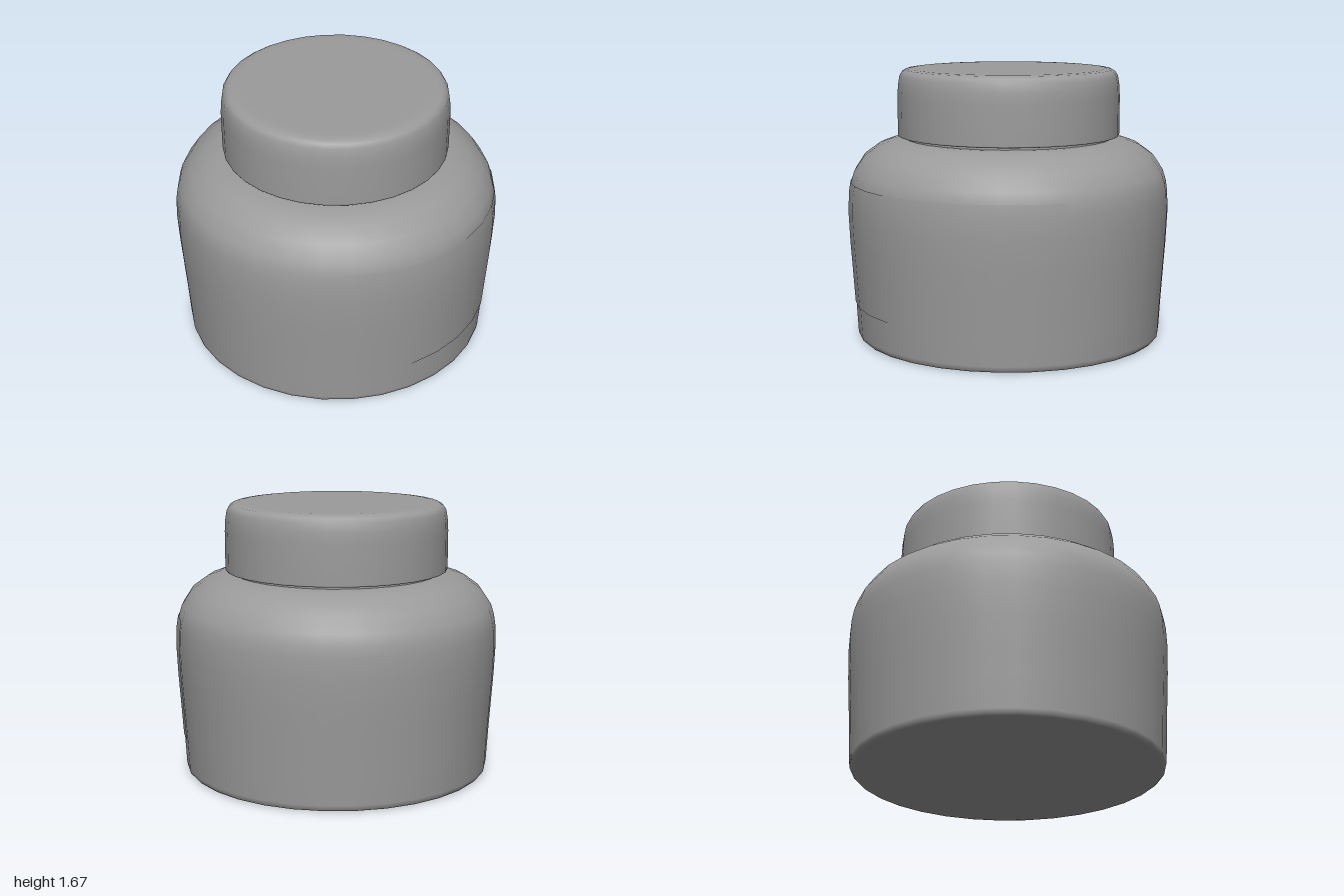
import * as THREE from 'three';

const SIDES = 32;
const STEP = (Math.PI * 2) / SIDES;
const TURN = 0.04; // slight turn of the facets about the axis

const material = new THREE.MeshStandardMaterial({ color: 0x9b9b9b });
const thinMaterial = new THREE.MeshStandardMaterial({ color: 0x9b9b9b, side: THREE.DoubleSide });

// Revolve a profile of [radius, height] pairs, listed from bottom to top
function turned(name, profile, mat = material, firstSide = 0, sides = SIDES) {
  const points = profile.map(([r, y]) => new THREE.Vector2(r, y));
  const geometry = new THREE.LatheGeometry(points, sides, TURN + firstSide * STEP, sides * STEP);
  const mesh = new THREE.Mesh(geometry, mat);
  mesh.name = name;
  return mesh;
}

export function createModel() {
  const group = new THREE.Group();
  group.name = 'jar';

  // Wall of the jar, shared by the body and the label
  const wall = [[0.962, 0.22], [0.975, 0.42], [0.987, 0.6], [0.995, 0.78], [0.991, 0.91], [0.98, 0.98]];

  // Body: flat base, slightly flared wall, rounded shoulder
  group.add(turned('body', [
    [0, 0], [0.91, 0], [0.935, 0.004], [0.948, 0.016], [0.952, 0.04],
    ...wall,
    [0.96, 1.045], [0.9, 1.135], [0.81, 1.2], [0.73, 1.228], [0.67, 1.24], [0.6, 1.242],
  ]));

  // Neck: narrow ring between shoulder and lid
  group.add(turned('neck', [[0.64, 1.23], [0.64, 1.28]], thinMaterial));

  // Lid: straight skirt with a rounded top edge
  group.add(turned('lid', [
    [0, 1.257], [0.677, 1.257], [0.686, 1.259], [0.688, 1.267], [0.688, 1.5], [0.684, 1.57],
    [0.675, 1.625], [0.66, 1.65], [0.638, 1.664], [0.6, 1.669], [0.55, 1.67], [0, 1.67],
  ]));

  // Label: thin sheet wrapped round the front left of the wall
  const sheet = wall.map(([r, y]) => [r + 0.005, y]);
  group.add(turned('label', sheet, thinMaterial, -3, 10));

  return group;
}
